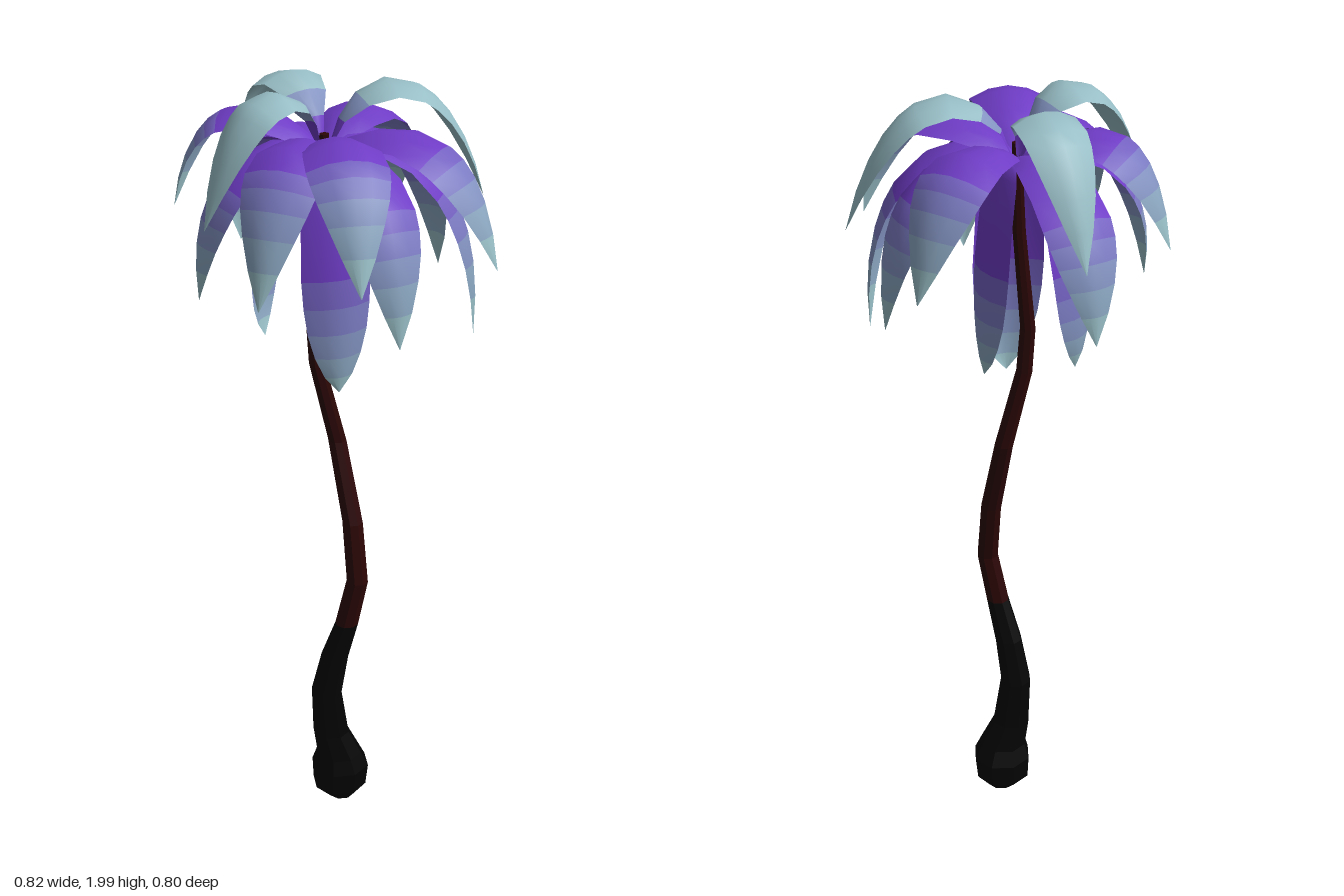
import * as THREE from 'three';

const mat = (name, color, side = THREE.FrontSide) => {
  const m = new THREE.MeshStandardMaterial({ color, side });
  m.name = name;
  return m;
};

// Closed tube of horizontal rings; each ring is [x, y, z, radius]
function ringTube(rings, sides) {
  const pos = [], idx = [];
  rings.forEach(([x, y, z, r]) => {
    for (let j = 0; j < sides; j++) {
      const a = (j / sides) * Math.PI * 2;
      pos.push(x + Math.sin(a) * r, y, z + Math.cos(a) * r);
    }
  });
  for (let i = 0; i < rings.length - 1; i++) {
    for (let j = 0; j < sides; j++) {
      const a = i * sides + j, b = i * sides + (j + 1) % sides;
      idx.push(a, b, b + sides, a, b + sides, a + sides);
    }
  }
  const top = (rings.length - 1) * sides;
  for (let j = 1; j < sides - 1; j++) {
    idx.push(0, j + 1, j, top, top + j, top + j + 1);
  }
  const g = new THREE.BufferGeometry();
  g.setAttribute('position', new THREE.Float32BufferAttribute(pos, 3));
  g.setIndex(idx);
  const flat = g.toNonIndexed();
  flat.computeVertexNormals();
  return flat;
}

const ROWS = [0, 0.12, 0.26, 0.44, 0.6, 0.68, 0.76, 0.84, 0.92, 1];
const WIDTHS = [0.32, 0.55, 0.8, 0.95, 1, 0.96, 0.86, 0.67, 0.4, 0.01];
const PALE_WIDTHS = [0.1, 0.3, 0.72, 0.98, 1, 0.95, 0.85, 0.67, 0.4, 0.01];
const COLS = [-1, -0.5, 0, 0.5, 1];
const BANDS = [0, 0, 0, 0, 1, 2, 3, 4, 5];
const PALE_BANDS = [0, 3, 5, 5, 5, 5, 5, 5, 5];
const HEART = new THREE.Vector3(-0.03, 1.84, -0.025);

// Arched leaf swept along a Bezier spine, with one colour group per row
function frondGeometry({ tip, p1, p2, width, bands = BANDS, widths = WIDTHS }) {
  const out = new THREE.Vector3(tip[0] - HEART.x, 0, tip[2] - HEART.z);
  const reach = out.length();
  out.normalize();
  const at = (r, y) => new THREE.Vector3(HEART.x + out.x * r, y, HEART.z + out.z * r);
  const spine = new THREE.CubicBezierCurve3(
    at(0.012, HEART.y), at(reach * p1[0], p1[1]), at(reach * p2[0], p2[1]), at(reach, tip[1]));
  const side = new THREE.Vector3(out.z, 0, -out.x);
  const pos = [], idx = [], n = COLS.length;
  ROWS.forEach((t, i) => {
    const c = spine.getPoint(t);
    const up = new THREE.Vector3().crossVectors(spine.getTangent(t), side);
    const w = widths[i] * width;
    COLS.forEach(s => {
      const p = c.clone().addScaledVector(side, s * w).addScaledVector(up, -0.32 * w * s * s);
      pos.push(p.x, p.y, p.z);
    });
  });
  const g = new THREE.BufferGeometry();
  for (let i = 0; i < ROWS.length - 1; i++) {
    g.addGroup(idx.length, (n - 1) * 6, bands[i]);
    for (let j = 0; j < n - 1; j++) {
      const a = i * n + j, b = a + n;
      idx.push(a, b, b + 1, a, b + 1, a + 1);
    }
  }
  g.setAttribute('position', new THREE.Float32BufferAttribute(pos, 3));
  g.setIndex(idx);
  g.computeVertexNormals();
  return g;
}

export function createModel() {
  const model = new THREE.Group();
  model.name = 'palmTree';

  const charred = mat('charredBark', 0x040404);
  const bark = mat('darkRedBark', 0x2c0606);
  const leaf = [
    ['purple', 0x6f3cc6], ['violet', 0x7562c2], ['periwinkle', 0x7c7cc4],
    ['dustyBlue', 0x8494c2], ['greyBlue', 0x8ca8c2], ['paleTeal', 0x98bec6],
  ].map(([n, c]) => mat(n, c, THREE.DoubleSide));

  const add = (name, geometry, material) => {
    const m = new THREE.Mesh(geometry, material);
    m.name = name;
    model.add(m);
  };

  // Bulbous foot and lower trunk
  add('lowerTrunk', ringTube([
    [0.015, 0, -0.02, 0.035], [0.01, 0.04, -0.02, 0.073], [0.012, 0.1, -0.02, 0.078],
    [0.01, 0.14, -0.015, 0.062], [-0.01, 0.21, -0.005, 0.049], [-0.02, 0.34, 0.002, 0.041],
    [0.005, 0.46, 0.012, 0.036], [0.04, 0.57, 0.025, 0.03],
  ], 8), charred);

  // Winding upper trunk
  add('upperTrunk', ringTube([
    [0.04, 0.57, 0.025, 0.03], [0.068, 0.7, 0.026, 0.028], [0.05, 0.86, 0.006, 0.027],
    [0, 1.07, -0.033, 0.024], [-0.048, 1.28, -0.018, 0.021], [-0.058, 1.4, -0.022, 0.02],
    [-0.035, 1.65, -0.022, 0.017], [-0.03, 1.87, -0.025, 0.012],
  ], 8), bark);

  // Tall pale fronds that rise steeply and arch above the crown
  [[-0.25, 1.7, 0.24], [-0.29, 1.68, -0.28], [0.32, 1.68, -0.23]].forEach((tip, i) =>
    add('paleFrond' + i, frondGeometry({
      tip, p1: [0.14, 2.04], p2: [0.75, 2.09], width: 0.08,
      bands: PALE_BANDS, widths: PALE_WIDTHS,
    }), leaf));

  // Spreading upper fronds; the fourth number is the height of the arch
  [[0.41, 1.6, 0.07, 1.98], [0.16, 1.63, 0.395, 2.03], [-0.09, 1.56, 0.355, 1.96],
    [-0.41, 1.66, -0.03, 2.03], [0.07, 1.6, -0.4, 1.97]].forEach((tip, i) =>
    add('upperFrond' + i, frondGeometry({
      tip, p1: [0.3, 1.93], p2: [0.85, tip[3]], width: 0.096,
    }), leaf));

  // Drooping lower fronds
  [[0.2, 1.47, -0.29], [0.33, 1.37, -0.09], [0.22, 1.46, 0.26],
    [-0.29, 1.5, 0.17], [-0.31, 1.5, -0.26]].forEach((tip, i) =>
    add('lowerFrond' + i, frondGeometry({
      tip, p1: [0.42, 1.92], p2: [1.08, 1.82], width: 0.089,
    }), leaf));

  // Hanging fronds close to the trunk
  [[0.025, 1.24, 0.05], [-0.19, 1.33, -0.05], [0.03, 1.29, -0.09]].forEach((tip, i) =>
    add('hangingFrond' + i, frondGeometry({
      tip, p1: [0.9, 1.92], p2: [1.4, tip[1] + 0.14], width: 0.09,
    }), leaf));

  return model;
}
